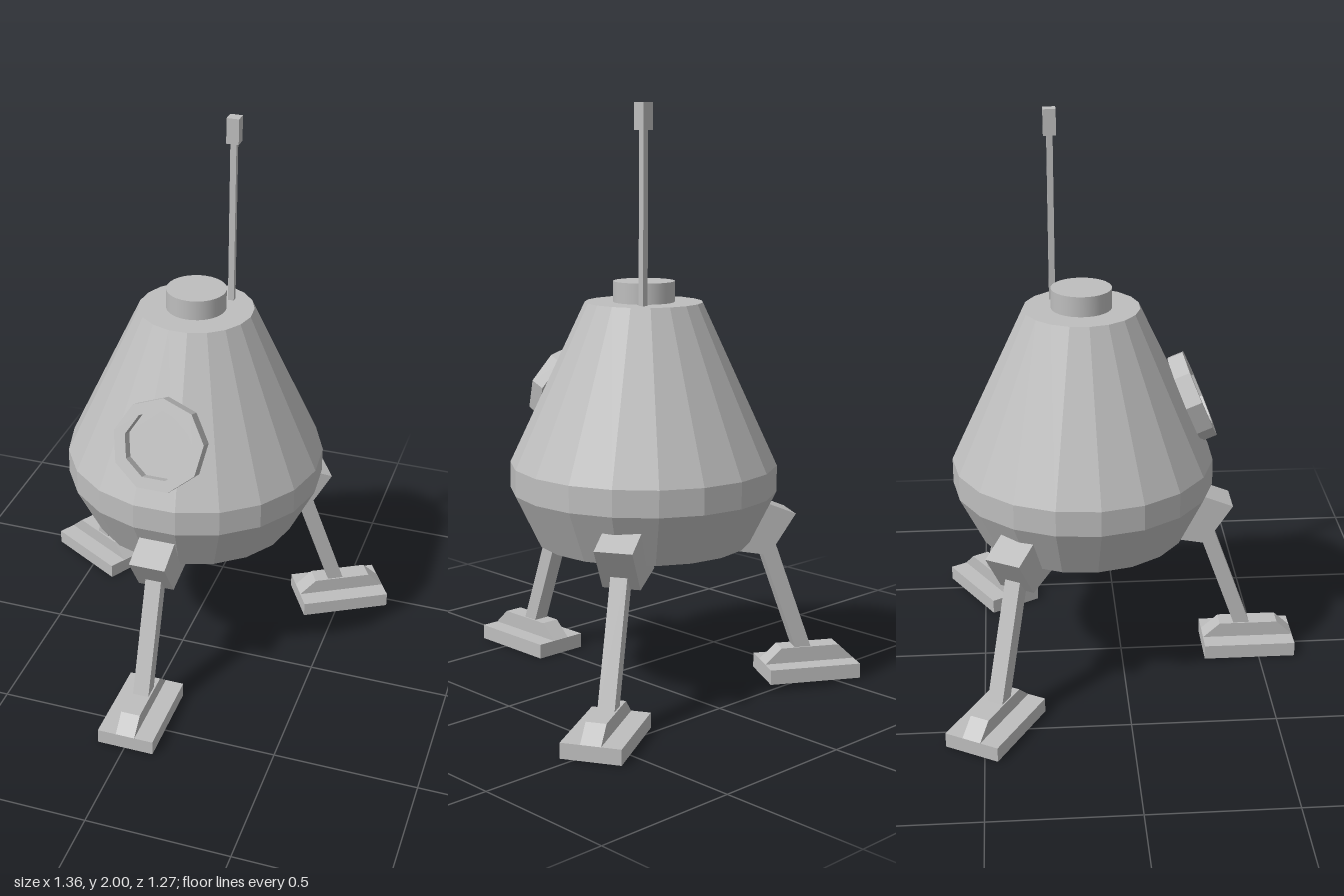
import * as THREE from 'three';

const grey = new THREE.MeshStandardMaterial({ color: 0xbebebe });
grey.name = 'grey metal';

function part(name, geometry, parent, x = 0, y = 0, z = 0) {
  const mesh = new THREE.Mesh(geometry, grey);
  mesh.name = name;
  mesh.position.set(x, y, z);
  parent.add(mesh);
  return mesh;
}

// Faceted normals
function faceted(geometry) {
  const g = geometry.index ? geometry.toNonIndexed() : geometry;
  g.computeVertexNormals();
  return g;
}

// Side outline given as [z, y] points, given a width along x
function sideSlab(points, width) {
  const shape = new THREE.Shape(points.map(([z, y]) => new THREE.Vector2(z, y)));
  const g = new THREE.ExtrudeGeometry(shape, { depth: width, bevelEnabled: false });
  return g.translate(0, 0, -width / 2).rotateY(-Math.PI / 2);
}

// Regular polygon with one corner at the top
function polygon(sides, radius) {
  return Array.from({ length: sides }, (_, i) => {
    const a = Math.PI / 2 + (i / sides) * Math.PI * 2;
    return new THREE.Vector2(Math.cos(a) * radius, Math.sin(a) * radius);
  });
}

// One leg reaching along +z
function makeLeg(name) {
  const leg = new THREE.Group();
  leg.name = name;
  part('footPad', new THREE.BoxGeometry(0.2, 0.052, 0.33), leg, 0, 0.026, 0.466);
  part('footRidge', sideSlab([[0.302, 0.052], [0.631, 0.052], [0.573, 0.106], [0.362, 0.106]], 0.068), leg);

  const bottom = new THREE.Vector3(0, 0.08, 0.451);
  const top = new THREE.Vector3(0, 0.56, 0.28);
  const strut = part('strut', new THREE.BoxGeometry(0.057, bottom.distanceTo(top), 0.054), leg);
  strut.position.copy(bottom).lerp(top, 0.5);
  strut.rotation.x = Math.atan2(top.z - bottom.z, top.y - bottom.y);

  part('hipBlock', sideSlab([[0.394, 0.6], [0.278, 0.647], [0.2, 0.68], [0.135, 0.488], [0.299, 0.458]], 0.128), leg);
  return leg;
}

export function createModel() {
  const model = new THREE.Group();
  model.name = 'landerCapsule';
  const cx = 0.003, cz = -0.134;

  // Hull with nineteen facets
  const profile = [[0, 0.52], [0.368, 0.52], [0.456, 0.7], [0.456, 0.79], [0.2, 1.34], [0, 1.34]]
    .map(([r, y]) => new THREE.Vector2(r, y));
  part('hull', faceted(new THREE.LatheGeometry(profile, 19, Math.PI)), model, cx, 0, cz);

  // Top hatch
  part('hatch', new THREE.CylinderGeometry(0.104, 0.104, 0.08, 32), model, cx, 1.37, cz);

  // Antenna
  part('antennaRod', new THREE.BoxGeometry(0.021, 0.59, 0.021), model, 0.1, 1.625, -0.23);
  part('antennaTip', new THREE.BoxGeometry(0.043, 0.088, 0.043), model, 0.1, 1.956, -0.23);

  // Porthole: open ring with a recessed pane
  const porthole = new THREE.Group();
  porthole.name = 'porthole';
  porthole.position.set(cx, 0.994, 0.221);
  porthole.rotation.x = -0.39;
  const ring = new THREE.Shape(polygon(9, 0.161));
  ring.holes.push(new THREE.Path(polygon(9, 0.12)));
  part('portholeRing', new THREE.ExtrudeGeometry(ring, { depth: 0.057, bevelEnabled: false }), porthole);
  part('portholePane', new THREE.ShapeGeometry(new THREE.Shape(polygon(9, 0.121))), porthole, 0, 0, 0.012);
  model.add(porthole);

  // Three legs, a third of a turn apart
  [['frontLeg', 0.003, 0, 0], ['leftLeg', 0.082, -0.232, 1], ['rightLeg', -0.087, -0.228, -1]]
    .forEach(([name, x, z, turn]) => {
      const leg = makeLeg(name);
      leg.position.set(x, 0, z);
      leg.rotation.y = turn * Math.PI * 2 / 3;
      model.add(leg);
    });

  return model;
}
